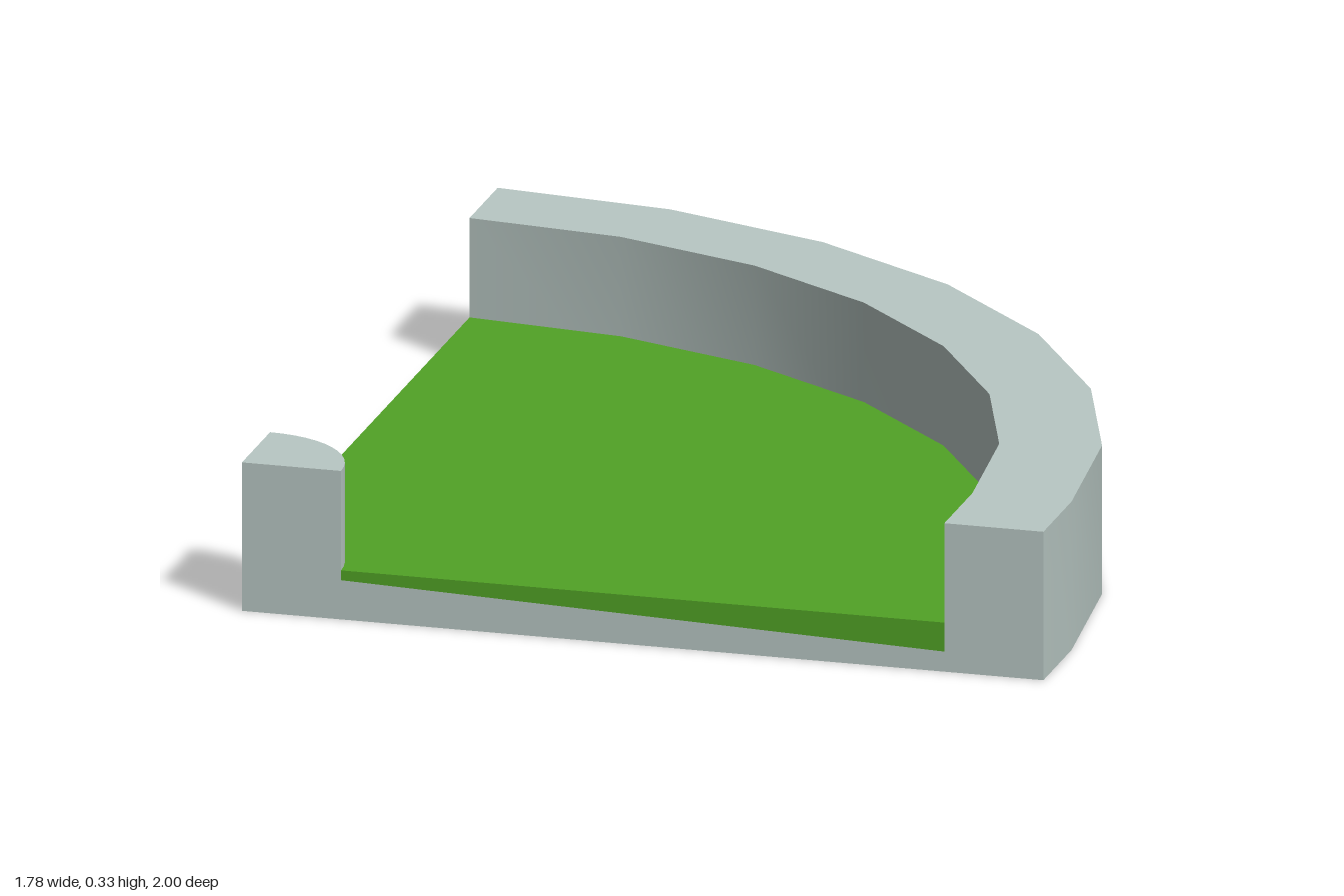
import * as THREE from 'three';
import { toCreasedNormals } from 'three/addons/utils/BufferGeometryUtils.js';

const LEFT = -0.89, FRONT = 1, ARC_Z = 0.78, TURF_Y = 0.11, TOP_Y = 0.333;

// Points [x, z] of a quarter circle from the back round to the right side
function quarterArc(radius, centreZ, segments) {
  return Array.from({ length: segments + 1 }, (_, i) => {
    const a = (i / segments) * Math.PI / 2;
    return [LEFT + radius * Math.sin(a), centreZ - radius * Math.cos(a)];
  });
}

// Upright prism over a plan outline, with floor and ceiling heights given by x
function prism(name, outline, bottom, top, material) {
  const shape = new THREE.Shape(outline.map(([x, z]) => new THREE.Vector2(x, -z)));
  const geometry = new THREE.ExtrudeGeometry(shape, { depth: 1, bevelEnabled: false });
  geometry.rotateX(-Math.PI / 2);
  const p = geometry.attributes.position;
  for (let i = 0; i < p.count; i++) {
    const x = p.getX(i);
    p.setY(i, p.getY(i) > 0.5 ? top(x) : bottom(x));
  }
  const mesh = new THREE.Mesh(toCreasedNormals(geometry, 0.5), material);
  mesh.name = name;
  return mesh;
}

export function createModel() {
  const stone = new THREE.MeshStandardMaterial({ color: 0xb9c8c4 });
  stone.name = 'pale stone';
  const grass = new THREE.MeshStandardMaterial({ color: 0x51a326 });
  grass.name = 'grass green';

  const outer = [...quarterArc(1.78, ARC_Z, 7), [0.89, FRONT]];
  const inner = [...quarterArc(1.56, ARC_Z, 7), [0.67, FRONT]];
  const postArc = quarterArc(0.22, FRONT, 12);

  const level = (y) => () => y;
  const slope = (x) => 0.095 - 0.05 * (x - LEFT) / 1.56;
  const floor = [...inner, ...[...postArc].reverse()];

  const group = new THREE.Group();
  group.name = 'curvedCourseCorner';
  group.add(
    // Curved kerb round the outside of the bend
    prism('outerWall', [...outer, ...[...inner].reverse()], level(0), level(TOP_Y), stone),
    // Quarter-round post at the inside corner
    prism('cornerPost', [[LEFT, FRONT], ...postArc], level(0), level(TOP_Y), stone),
    // Sloping foundation with the turf slab on top
    prism('base', floor, level(0), slope, stone),
    prism('turf', floor, slope, level(TURF_Y), grass)
  );
  return group;
}
